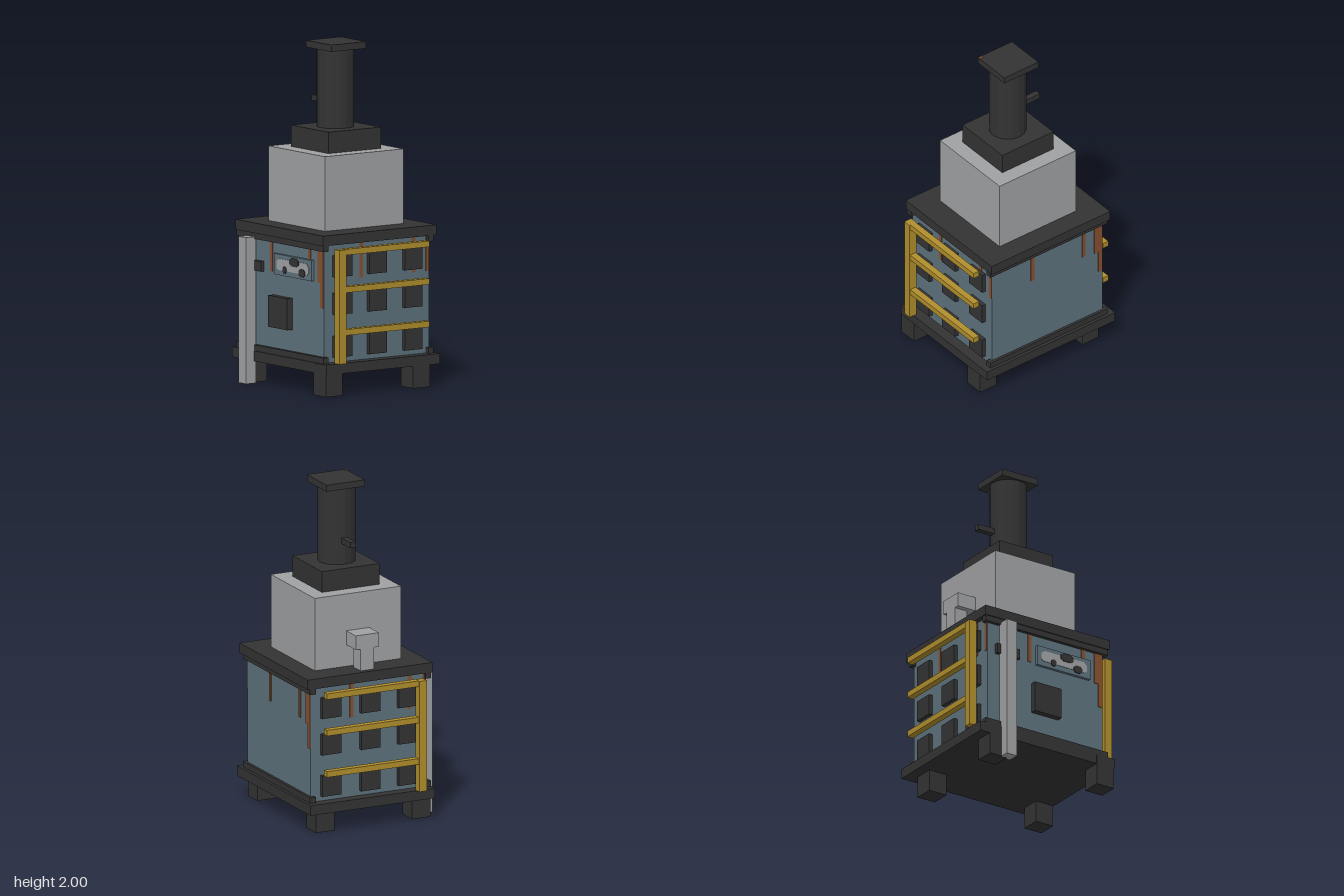
import * as THREE from 'three';

const paint = (name, color) => {
  const m = new THREE.MeshStandardMaterial({ color });
  m.name = name;
  return m;
};

export function createModel() {
  const root = new THREE.Group();
  root.name = 'furnace';
  const iron = paint('dark iron', 0x333333);
  const steel = paint('pale steel', 0xa0a1a3);
  const blue = paint('blue paint', 0x5d727d);
  const gold = paint('yellow rail paint', 0xb08e2c);
  const rust = paint('rust', 0x85502f);

  const add = (name, geometry, material, parent = root) => {
    const mesh = new THREE.Mesh(geometry, material);
    mesh.name = name;
    parent.add(mesh);
    return mesh;
  };
  // Box given by its lower and upper limits on each axis
  const box = (name, material, x0, x1, y0, y1, z0, z1, parent = root) => {
    const mesh = add(name, new THREE.BoxGeometry(x1 - x0, y1 - y0, z1 - z0), material, parent);
    mesh.position.set((x0 + x1) / 2, (y0 + y1) / 2, (z0 + z1) / 2);
    return mesh;
  };
  const CZ = -0.025; // centre of the body in z

  // Base, legs, body and top slab
  for (const x of [-0.345, 0.405])
    for (const z of [-0.305, 0.32])
      box('leg', iron, x - 0.06, x + 0.06, 0, 0.185, z - 0.06, z + 0.06);
  box('basePlate', iron, -0.47, 0.47, 0.13, 0.19, -0.435, 0.377);
  box('body', blue, -0.405, 0.405, 0.19, 0.88, -0.4, 0.35);
  box('topSlab', iron, -0.435, 0.435, 0.88, 0.94, -0.435, 0.377);
  for (const y of [0.19, 0.845])
    for (const z of [0.353, -0.398])
      box('trimBar', iron, -0.43, 0.43, y, y + 0.035, z - 0.018, z + 0.018);

  // Side vents and guard rails, repeated on both sides
  for (const s of [-1, 1]) {
    const side = (name, material, a, b, ...rest) =>
      box(name, material, Math.min(s * a, s * b), Math.max(s * a, s * b), ...rest);
    for (const y of [0.22, 0.47, 0.69])
      for (const z of [0.225, -0.02, -0.275])
        side('vent', iron, 0.4, 0.43, y, y + 0.125, z - 0.0625, z + 0.0625);
    for (const y of [0.355, 0.605, 0.825])
      side('guardRail', gold, 0.455, 0.495, y, y + 0.035, -0.34, 0.26);
    side('guardPost', gold, 0.45, 0.5, 0.19, 0.857, 0.258, 0.307);
  }

  // Rust streaks, turned around the four walls
  for (let i = 0; i < 4; i++) {
    const wall = new THREE.Group();
    wall.name = 'rustStreaks';
    wall.position.z = CZ;
    wall.rotation.y = i * Math.PI / 2;
    root.add(wall);
    const d = i % 2 ? 0.405 : 0.375;
    const streak = (u0, u1, y0, y1) =>
      box('rustStreak', rust, u0, u1, y0, y1, d - 0.002, d + 0.004, wall);
    streak(-0.122, -0.098, 0.67, 0.88);
    streak(0.254, 0.278, 0.67, 0.88);
    if (i % 2) streak(0.352, 0.374, 0.67, 0.88);
    else {
      streak(0.345, 0.403, 0.655, 0.88);
      streak(0.374, 0.402, 0.51, 0.655);
    }
  }

  // Front: drain pipe, latch, door and control panel
  box('drainPipe', steel, -0.325, -0.252, 0, 0.857, 0.36, 0.433);
  box('latch', iron, -0.35, -0.19, 0.66, 0.72, 0.345, 0.372);
  box('door', iron, -0.095, 0.092, 0.35, 0.535, 0.345, 0.387);
  box('panelFrame', blue, -0.065, 0.307, 0.66, 0.782, 0.345, 0.368);
  const flat = (name, material, pts, z, depth) => {
    const shape = new THREE.Shape(pts.map(([x, y]) => new THREE.Vector2(x, y)));
    add(name, new THREE.ExtrudeGeometry(shape, { depth, bevelEnabled: false }), material).position.z = z;
  };
  flat('panelFace', steel, [[-0.037, 0.7], [-0.02, 0.69], [0.265, 0.69], [0.282, 0.705],
    [0.282, 0.735], [0.26, 0.757], [-0.015, 0.757], [-0.037, 0.74]], 0.367, 0.004);
  for (const [x, y, w, h] of [[0.14, 0.75, 0.045, 0.024], [0.217, 0.697, 0.029, 0.023], [0.046, 0.696, 0.017, 0.02]])
    flat('panelMark', iron, [[x - w, y - h / 2], [x - w / 2, y - h], [x + w / 2, y - h], [x + w, y - h / 2],
      [x + w, y + h / 2], [x + w / 2, y + h], [x - w / 2, y + h], [x - w, y + h / 2]], 0.37, 0.005);

  // Upper housing and side duct
  box('housing', steel, -0.28, 0.28, 0.94, 1.377, -0.31, 0.252);
  box('ductArm', steel, -0.402, -0.28, 1.07, 1.155, -0.105, 0.045);
  box('ductDrop', steel, -0.402, -0.315, 0.94, 1.07, -0.075, 0.012);

  // Chimney with collar, handle and cap
  box('collar', iron, -0.187, 0.187, 1.377, 1.502, -0.216, 0.159);
  const flue = new THREE.CylinderGeometry(0.11, 0.11, 0.46, 16).toNonIndexed();
  flue.computeVertexNormals();
  add('flue', flue, iron).position.set(0, 1.732, CZ);
  box('damperHandle', iron, -0.22, -0.1, 1.63, 1.663, -0.048, -0.011);
  box('chimneyCap', iron, -0.125, 0.125, 1.96, 2, -0.155, 0.095);
  box('capRust', rust, 0.102, 0.122, 1.995, 2.001, 0.075, 0.092);
  return root;
}
